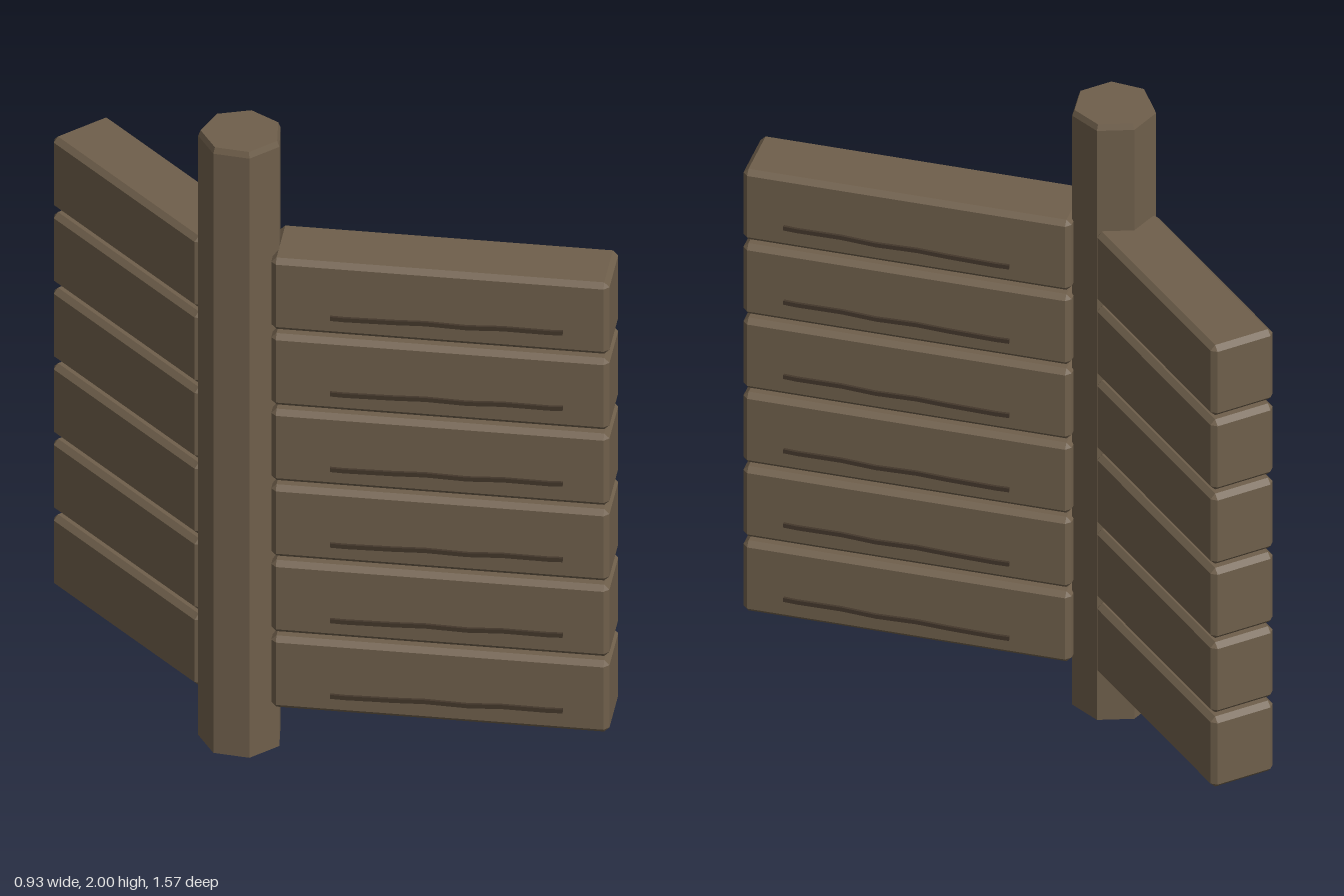
import * as THREE from 'three';
import { ConvexGeometry } from 'three/addons/geometries/ConvexGeometry.js';

const wood = new THREE.MeshStandardMaterial({ color: 0x6f5f4b });
wood.name = 'weathered wood';
const darkWood = new THREE.MeshStandardMaterial({ color: 0x43372b });
darkWood.name = 'dark crack';

// Box with all edges chamfered by c
function chamferBox(w, h, d, c) {
  const pts = [];
  for (const sx of [-1, 1]) for (const sy of [-1, 1]) for (const sz of [-1, 1]) {
    const x = w / 2, y = h / 2, z = d / 2;
    pts.push(
      new THREE.Vector3(sx * x, sy * (y - c), sz * (z - c)),
      new THREE.Vector3(sx * (x - c), sy * y, sz * (z - c)),
      new THREE.Vector3(sx * (x - c), sy * (y - c), sz * z));
  }
  return new ConvexGeometry(pts);
}

// Thin jagged sliver, as long as most of a beam
function crackGeometry() {
  const centre = [[-0.33, -0.002], [-0.29, -0.003], [-0.15, 0], [-0.06, 0.004], [0.06, 0.001], [0.16, 0.007], [0.29, 0.006], [0.33, 0.008]];
  const half = 0.0065;
  const outline = [
    ...centre.map(([x, y]) => new THREE.Vector2(x, y - half)),
    ...centre.map(([x, y]) => new THREE.Vector2(x, y + half)).reverse()];
  const g = new THREE.ExtrudeGeometry(new THREE.Shape(outline), { depth: 0.008, bevelEnabled: false });
  return g.translate(0, 0, -0.004);
}

function add(parent, name, geometry, material, x, y, z) {
  const mesh = new THREE.Mesh(geometry, material);
  mesh.name = name;
  mesh.position.set(x, y, z);
  parent.add(mesh);
}

export function createModel() {
  const model = new THREE.Group();
  model.name = 'cornerFence';

  // Seven-sided corner post with a slightly chamfered top
  const profile = [[0, 0], [0.121, 0], [0.121, 1.982], [0.114, 2], [0, 2]]
    .map(([r, y]) => new THREE.Vector2(r, y));
  const postGeometry = new THREE.LatheGeometry(profile, 7, Math.PI).toNonIndexed();
  postGeometry.computeVertexNormals();
  add(model, 'post', postGeometry, wood, -0.345, 0, -0.026);

  // Two stacks of beams meeting at the post
  const backBeam = chamferBox(0.199, 0.236, 0.69, 0.015);
  const frontBeam = chamferBox(0.96, 0.236, 0.202, 0.015);
  const crack = crackGeometry();
  const backWall = new THREE.Group();
  backWall.name = 'backWall';
  backWall.position.set(-0.347, 0, -0.439);
  const frontWall = new THREE.Group();
  frontWall.name = 'frontWall';
  frontWall.position.set(0.064, 0, 0.382);
  frontWall.rotation.y = -Math.PI / 4;
  model.add(backWall, frontWall);

  for (let i = 0; i < 6; i++) {
    const y = 0.276 + i * 0.25;
    add(backWall, 'backBeam', backBeam, wood, 0, y, 0);
    add(frontWall, 'frontBeam', frontBeam, wood, 0, y, 0);
    // Cracks standing just off both faces of the beam
    for (const side of [-1, 1]) add(frontWall, 'crack', crack, darkWood, 0.022, y - 0.045, side * 0.122);
  }
  return model;
}
